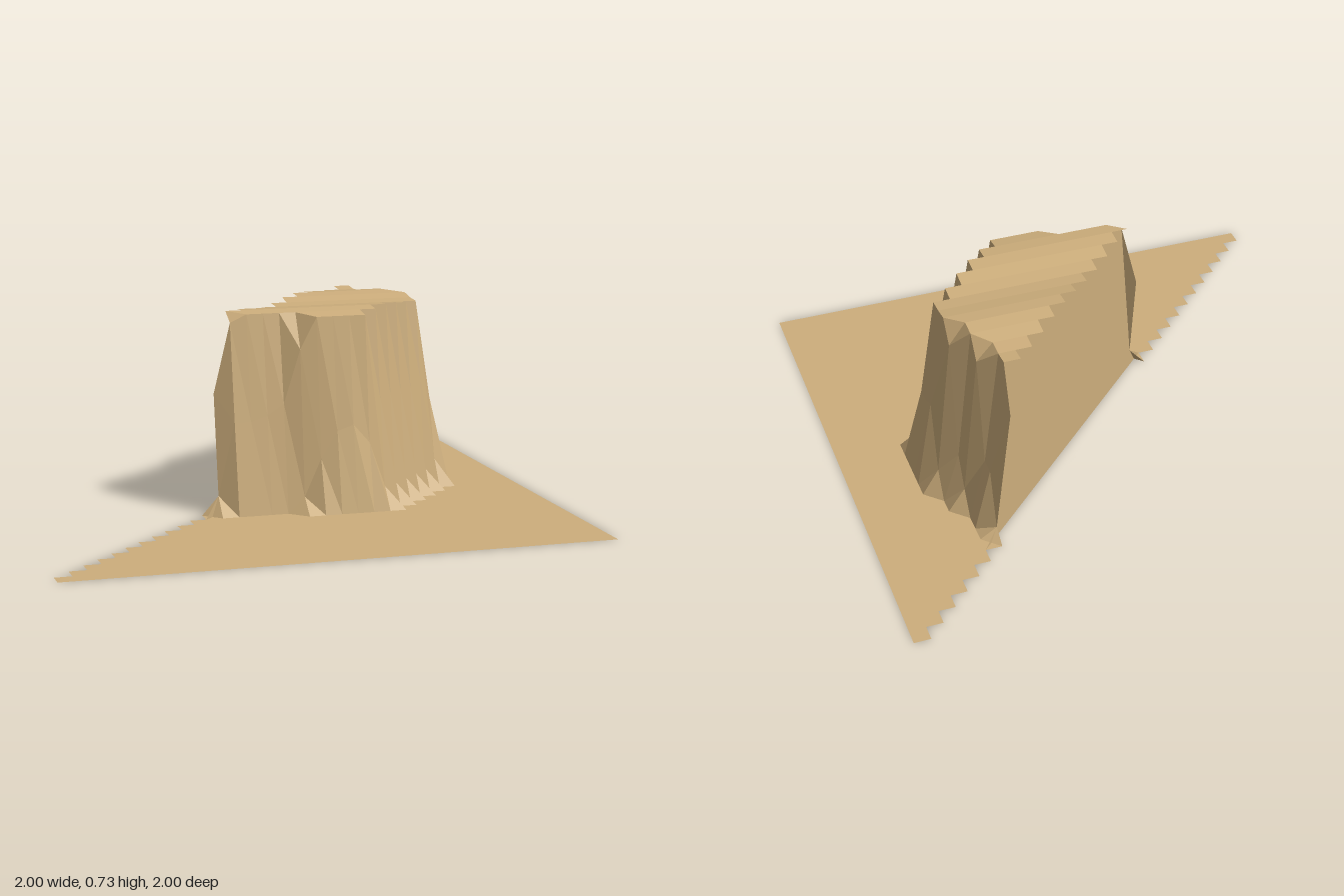
import * as THREE from 'three';

const N = 32, STEP = 2 / N;
const pos = (i) => -1 + i * STEP;

// Plateau by grid row: [first full column, last full column, slope heights before it, slope heights after it]
const ROWS = {
  7: [24, 23, [], [0.53, 0.04]],
  8: [23, 24, [], [0.25]],
  9: [22, 24, [], [0.25]],
  10: [21, 24, [], [0.65, 0.09]],
  11: [20, 25, [], [0.2]],
  12: [19, 25, [], [0.65, 0.1]],
  13: [18, 26, [], [0.36]],
  14: [17, 26, [], [0.33]],
  15: [16, 26, [], [0.33]],
  16: [15, 25, [], [0.42, 0.1]],
  17: [14, 24, [], [0.4, 0.08]],
  18: [13, 23, [], [0.4, 0.08]],
  19: [13, 22, [0.44], [0.4, 0.08]],
  20: [18, 21, [0.07, 0.34, 0.34, 0.36, 0.4, 0.6], [0.4, 0.08]],
  21: [17, 16, [], [0.06, 0.2, 0.3, 0.32, 0.25, 0.08]],
};

function height(i, j) {
  const row = ROWS[j];
  if (!row) return 0;
  const [from, to, lead, tail] = row;
  if (i < from) return lead[i - from + lead.length] ?? 0;
  if (i > to) return tail[i - to - 1] ?? 0;
  return i === 13 && j === 19 ? 0.7 : 0.724 + 0.011 * Math.cos(17 * (pos(j) - 0.12));
}

function geometryFrom(points) {
  const g = new THREE.BufferGeometry();
  g.setAttribute('position', new THREE.Float32BufferAttribute(points.flat(), 3));
  g.computeVertexNormals();
  return g;
}

export function createModel() {
  const group = new THREE.Group();
  const sand = new THREE.MeshStandardMaterial({ color: 0xcdae7c, side: THREE.DoubleSide, flatShading: true });
  sand.name = 'sand';
  const add = (name, points) => {
    const mesh = new THREE.Mesh(geometryFrom(points), sand);
    mesh.name = name;
    group.add(mesh);
  };

  // Ground and plateau: square cells on one side of the stepped diagonal
  const at = (i, j) => [pos(i), height(i, j), pos(j)];
  const ground = [], plateau = [];
  for (let j = 0; j < N; j++) {
    for (let i = N - 1 - j; i < N; i++) {
      const a = at(i, j), b = at(i + 1, j), c = at(i + 1, j + 1), d = at(i, j + 1);
      const flat = a[1] + b[1] + c[1] + d[1] === 0;
      (flat ? ground : plateau).push(a, d, c, a, c, b);
    }
  }
  add('ground', ground);
  add('plateau', plateau);

  // Flat wall closing the plateau along the diagonal cut
  const wall = [];
  for (let i = 11; i < 26; i++) {
    const p = at(i, N - i), q = at(i + 1, N - i - 1);
    const p0 = [p[0], 0, p[2]], q0 = [q[0], 0, q[2]];
    wall.push(p0, p, q, p0, q, q0);
  }
  add('cutWall', wall);

  // Underside
  add('underside', [[-1, 0, 1], [1, 0, -1], [1, 0, 1]]);
  return group;
}
